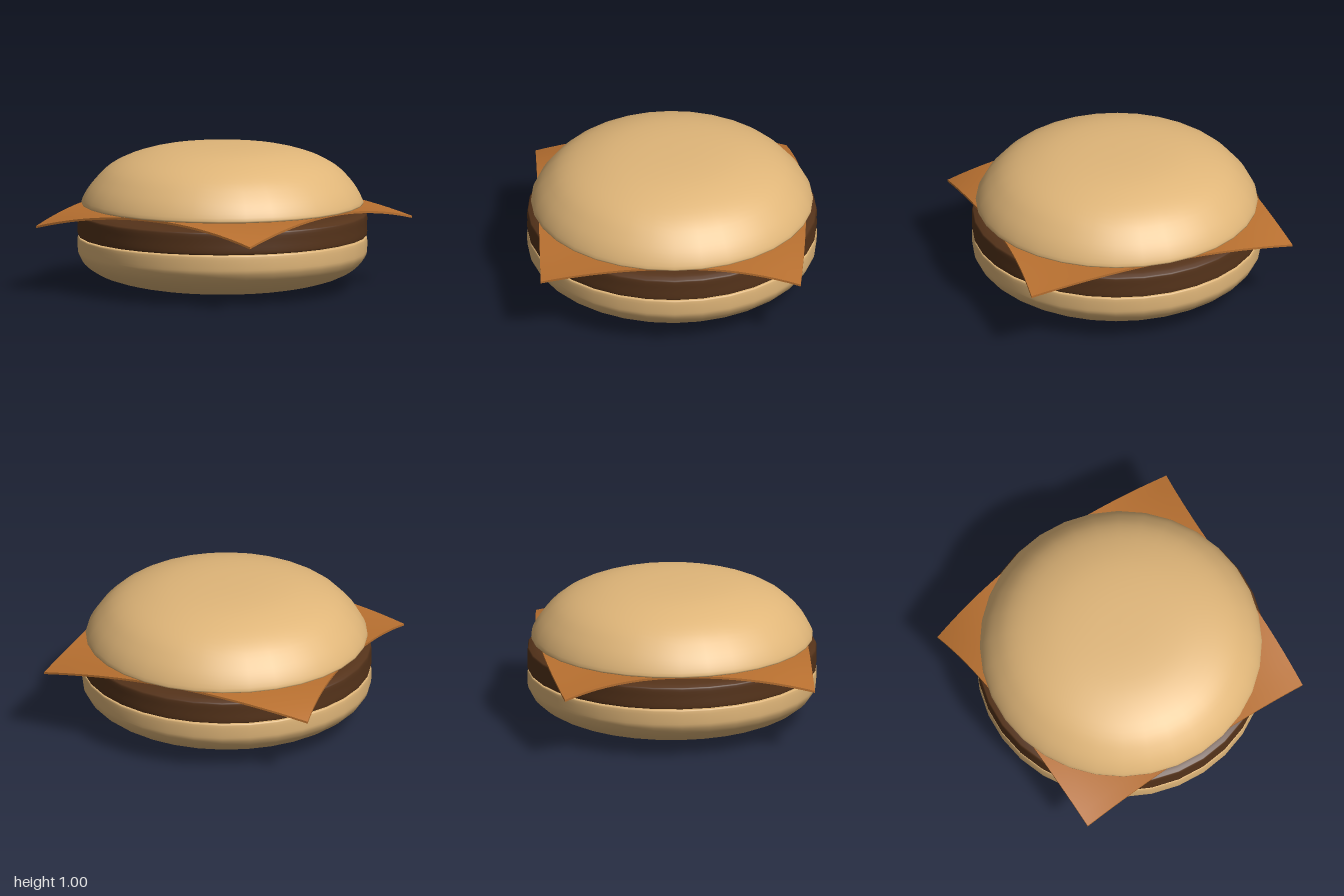
import * as THREE from 'three';

const SIDES = 32;
const material = (color) => new THREE.MeshStandardMaterial({ color });

// A round layer: each profile [radius, height] runs bottom to top and is smooth; breaks between profiles stay sharp
function roundLayer(name, color, profiles) {
  const group = new THREE.Group();
  group.name = name;
  const mat = material(color);
  for (const profile of profiles) {
    let points = profile.map(([r, y]) => new THREE.Vector2(r, y));
    if (points.length > 2) {
      points = new THREE.SplineCurve(points).getPoints((points.length - 1) * 3);
      points.forEach((p) => { p.x = Math.max(p.x, 0); });
    }
    const mesh = new THREE.Mesh(new THREE.LatheGeometry(points, SIDES), mat);
    mesh.name = name + 'Surface';
    group.add(mesh);
  }
  return group;
}

// Square slice whose corners droop and shift, each by its own amount
function cheeseSlice() {
  const half = 0.925, middle = 0.582;
  // corner offsets [dx, dy, dz], keyed by the signs of x and z
  const corners = {
    '1,1': [-0.04, -0.122, 0],
    '-1,1': [0, -0.125, 0],
    '1,-1': [0.065, -0.105, 0.055],
    '-1,-1': [-0.055, -0.135, 0.115],
  };
  const geometry = new THREE.BoxGeometry(half * 2, 0.015, half * 2, 20, 1, 20);
  const pos = geometry.attributes.position;
  for (let i = 0; i < pos.count; i++) {
    const x = pos.getX(i), y = pos.getY(i), z = pos.getZ(i);
    const [dx, dy, dz] = corners[`${x < 0 ? -1 : 1},${z < 0 ? -1 : 1}`];
    const w = ((x * z) / (half * half)) ** 2;
    pos.setXYZ(i, x + dx * w, middle + y + dy * w, z + dz * w);
  }
  geometry.computeVertexNormals();
  const mesh = new THREE.Mesh(geometry, material(0xb87030));
  mesh.name = 'cheeseSlice';
  return mesh;
}

export function createModel() {
  const model = new THREE.Group();
  model.name = 'burger';

  // Bottom bun: rounded underside, flat cut top
  model.add(roundLayer('bottomBun', 0xe0b679, [
    [[0, 0.005], [0.3, 0.011], [0.6, 0.04], [0.82, 0.095], [0.94, 0.165], [0.99, 0.23], [1, 0.28], [1, 0.355], [0.99, 0.365]],
    [[0.99, 0.365], [0, 0.365]],
  ]));

  // Patty: straight wall with softened rims
  model.add(roundLayer('patty', 0x55331a, [
    [[0, 0.367], [0.96, 0.367]],
    [[0.96, 0.367], [0.99, 0.372], [1, 0.385], [1, 0.45], [1, 0.515], [0.985, 0.53], [0.94, 0.546], [0.85, 0.556]],
    [[0.85, 0.556], [0, 0.57]],
  ]));

  model.add(cheeseSlice());

  // Top bun: low dome with a small rolled lip
  model.add(roundLayer('topBun', 0xe0b679, [
    [[0, 0.58], [0.9, 0.583]],
    [[0.9, 0.583], [0.955, 0.588], [0.975, 0.604], [0.94, 0.68], [0.88, 0.76], [0.79, 0.845], [0.66, 0.915], [0.47, 0.97], [0.24, 0.995], [0, 1]],
  ]));

  return model;
}
